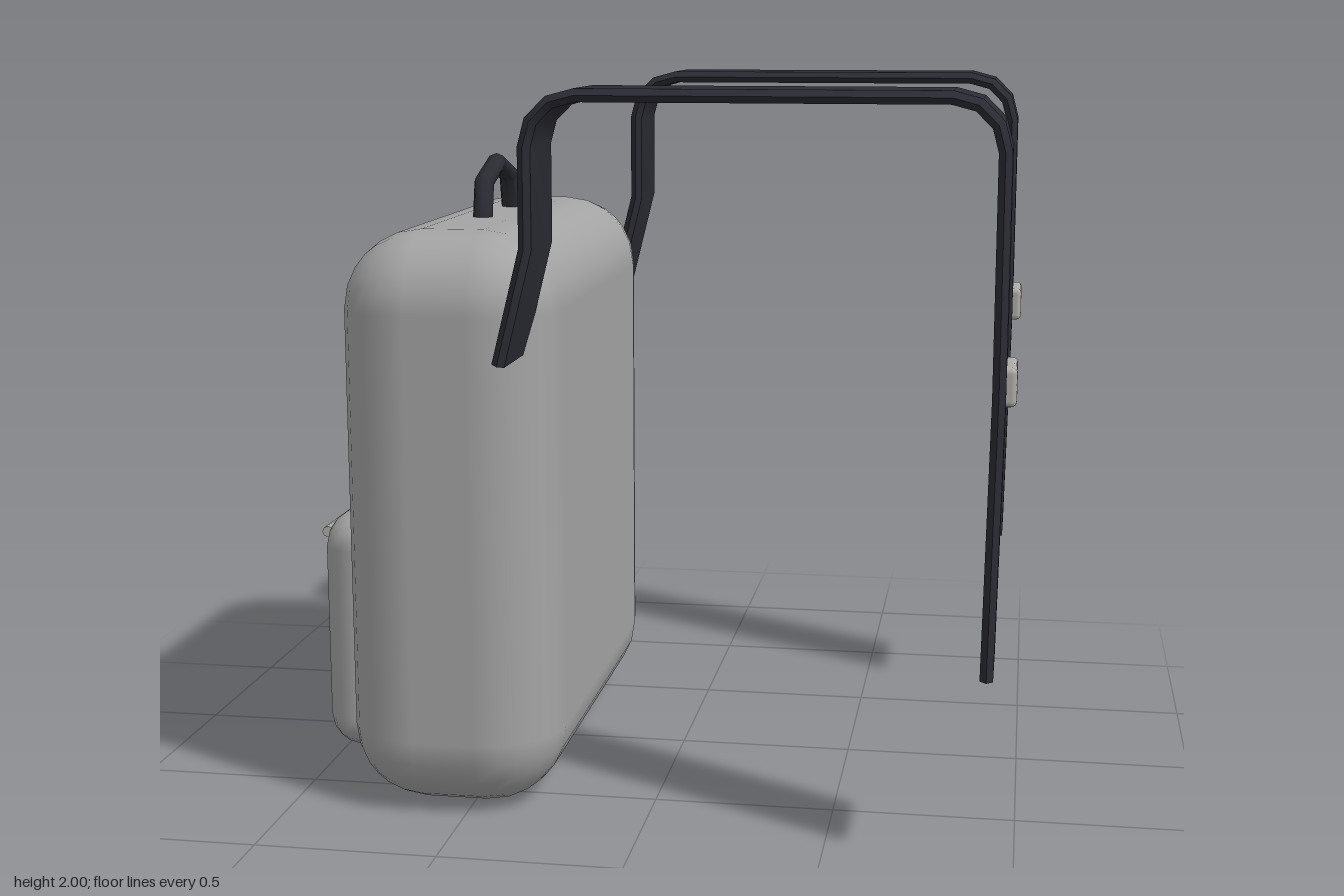
import * as THREE from 'three';
import { RoundedBoxGeometry } from 'three/addons/geometries/RoundedBoxGeometry.js';
import { toCreasedNormals } from 'three/addons/utils/BufferGeometryUtils.js';

const mat = (name, color) => {
  const m = new THREE.MeshStandardMaterial({ color });
  m.name = name;
  return m;
};

// Sweeps a section of [normal, z] points along a mitred path in the xy plane.
function sweep(path, section) {
  const p = path.map(([x, y]) => new THREE.Vector2(x, y));
  const n = section.length, pos = [], idx = [];
  const normal = (a, b) => new THREE.Vector2(a.y - b.y, b.x - a.x).normalize();
  p.forEach((c, i) => {
    const before = normal(p[Math.max(i - 1, 0)], p[Math.max(i, 1)]);
    const after = normal(p[Math.min(i, p.length - 2)], p[Math.min(i + 1, p.length - 1)]);
    const m = before.clone().add(after).normalize();
    m.divideScalar(m.dot(before));
    section.forEach(([h, z]) => pos.push(c.x + m.x * h, c.y + m.y * h, z));
    if (i === 0) return;
    for (let j = 0; j < n; j++) {
      const k = (j + 1) % n, r = (i - 1) * n, s = i * n;
      idx.push(r + j, r + k, s + j, r + k, s + k, s + j);
    }
  });
  const e = (p.length - 1) * n;
  for (let j = 1; j < n - 1; j++) idx.push(0, j + 1, j, e, e + j, e + j + 1);
  const g = new THREE.BufferGeometry();
  g.setAttribute('position', new THREE.Float32BufferAttribute(pos, 3));
  g.setIndex(idx);
  return g;
}

// Points of a rounded corner.
const arc = (cx, cy, r, from, to, steps = 3) =>
  Array.from({ length: steps + 1 }, (_, i) => {
    const a = THREE.MathUtils.degToRad(from + (to - from) * i / steps);
    return [cx + r * Math.cos(a), cy + r * Math.sin(a)];
  });

export function createModel() {
  const root = new THREE.Group();
  root.name = 'backpack';
  const fabric = mat('grey fabric', 0xa4a4a4);
  const webbing = mat('dark webbing', 0x2b2b34);
  const metal = mat('light metal', 0xaeaca8);

  const add = (name, geometry, material, x = 0, y = 0, z = 0) => {
    const mesh = new THREE.Mesh(geometry, material);
    mesh.name = name;
    mesh.position.set(x, y, z);
    root.add(mesh);
    return mesh;
  };

  // Main bag and its outer pocket
  add('body', new RoundedBoxGeometry(0.6, 1.605, 1.49, 3, 0.215), fabric, -0.55, 0.808, 0);
  add('pocket', new RoundedBoxGeometry(0.26, 0.69, 1.16, 2, 0.1), fabric, -0.815, 0.465, 0);

  // Zip along the top of the pocket, with its hanging pull
  const zip = new THREE.CylinderGeometry(0.016, 0.016, 0.92, 8).rotateX(Math.PI / 2);
  add('zipper', zip, metal, -0.953, 0.735, 0);
  const pull = add('zipperPull', new THREE.SphereGeometry(1, 12, 8), metal, -0.963, 0.672, -0.41);
  pull.scale.set(0.016, 0.062, 0.03);

  // Carry handle
  const ring = Array.from({ length: 8 }, (_, i) => {
    const a = i * Math.PI / 4;
    return [0.026 * Math.cos(a), 0.029 * Math.sin(a)];
  });
  const handlePath = [[-0.18, 1.57], [-0.147, 1.708], [0, 1.754], [0.147, 1.708], [0.18, 1.57]];
  const handle = toCreasedNormals(sweep(handlePath, ring), 1);
  add('handle', handle.rotateY(Math.PI / 2), webbing, -0.558, 0, 0);

  // Shoulder straps with chamfered edges, each with a buckle
  const strapPath = [
    [-0.337, 1.3], [-0.262, 1.6],
    ...arc(-0.132, 1.855, 0.13, 180, 90),
    ...arc(0.8, 1.855, 0.13, 90, 0),
    [0.93, 1.25], [0.918, 0.525],
  ];
  const strapSection = [
    [0.017, -0.12], [0.017, 0.12], [0, 0.136],
    [-0.017, 0.12], [-0.017, -0.12], [0, -0.136],
  ];
  const strap = toCreasedNormals(sweep(strapPath, strapSection), 0.65);
  const buckle = new RoundedBoxGeometry(0.055, 0.1, 0.195, 2, 0.015);
  for (const [side, s] of [['left', 1], ['right', -1]]) {
    add(side + 'Strap', strap, webbing, 0, 0, s * 0.777);
    add(side + 'Buckle', buckle, metal, 0.946, 1.275, s * 0.777);
  }
  return root;
}
